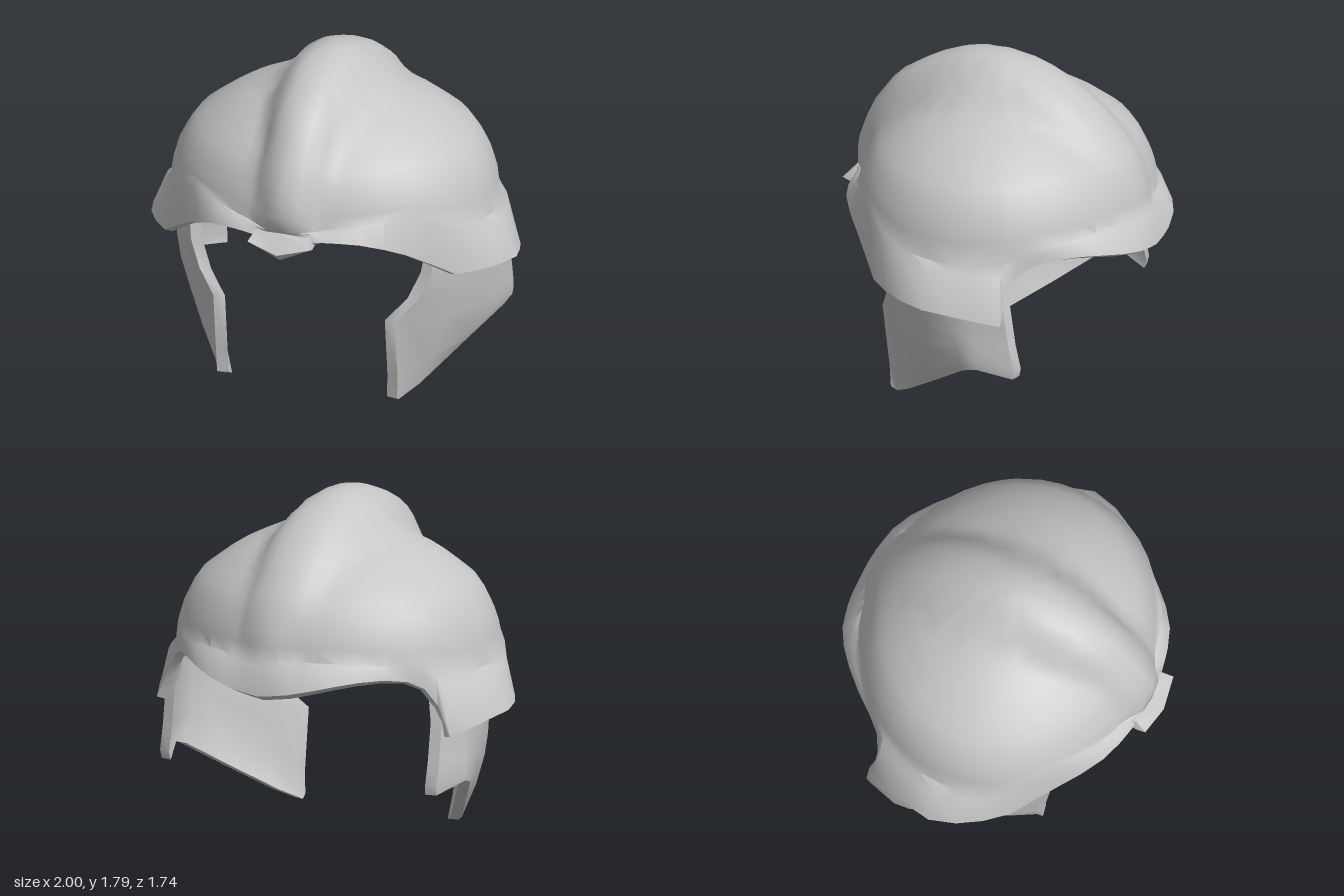
import * as THREE from 'three';
import { toCreasedNormals } from 'three/addons/utils/BufferGeometryUtils.js';

const steel = new THREE.MeshStandardMaterial({ color: 0xc6c6c6, side: THREE.DoubleSide });
steel.name = 'steel grey';

// Skins rows of points; rows run downwards and points left to right as seen from outside
function skin(name, rows, closed, crease = 0.85) {
  const n = rows[0].length, index = [];
  for (let i = 0; i < rows.length - 1; i++) {
    for (let j = 0; j < (closed ? n : n - 1); j++) {
      const k = (j + 1) % n;
      const a = i * n + j, b = a + n, c = (i + 1) * n + k, d = i * n + k;
      index.push(a, b, c, a, c, d);
    }
  }
  const geometry = new THREE.BufferGeometry();
  geometry.setAttribute('position', new THREE.Float32BufferAttribute(rows.flat(2), 3));
  geometry.setIndex(index);
  const mesh = new THREE.Mesh(toCreasedNormals(geometry, crease), steel);
  mesh.name = name;
  return mesh;
}

// Linear lookup in rows sorted by their first number
function lookup(table, t) {
  if (t <= table[0][0]) return table[0];
  const i = table.findIndex((row) => row[0] >= t);
  if (i < 0) return table[table.length - 1];
  const a = table[i - 1], b = table[i], f = (t - a[0]) / (b[0] - a[0]);
  return a.map((v, k) => v + (b[k] - v) * f);
}

// Rim from front centre round the left ear to back centre: [x, y, z, height where the flare starts]
const halfRim = [
  [0, 0.99, 0.78, 1.05], [0.09, 0.995, 0.78, 1.05], [0.17, 1.005, 0.78, 1.05], [0.225, 1.01, 0.77, 1.06],
  [0.29, 1.01, 0.755, 1.07], [0.4, 1.0, 0.715, 1.09], [0.51, 0.96, 0.64, 1.12], [0.6, 0.91, 0.56, 1.14],
  [0.7, 0.835, 0.465, 1.1], [0.8, 0.755, 0.37, 1.04], [0.89, 0.745, 0.26, 0.99], [0.96, 0.74, 0.14, 0.965],
  [1, 0.73, 0, 0.955], [0.97, 0.71, -0.13, 0.95], [0.93, 0.685, -0.25, 0.95], [0.87, 0.655, -0.385, 0.96],
  [0.8, 0.81, -0.385, 0.98], [0.74, 0.9, -0.42, 1.0], [0.68, 0.945, -0.49, 1.02], [0.6, 0.965, -0.59, 1.04],
  [0.5, 0.962, -0.69, 1.05], [0.4, 0.945, -0.77, 1.05], [0.3, 0.922, -0.825, 1.05], [0.225, 0.905, -0.845, 1.05],
  [0.17, 0.892, -0.858, 1.05], [0.09, 0.88, -0.868, 1.05], [0, 0.868, -0.87, 1.05],
];

// Dome profile: [height, share of the base outline]
const profile = [[0.95, 0.985], [1.03, 0.98], [1.1, 0.965], [1.18, 0.935], [1.26, 0.89], [1.335, 0.83], [1.395, 0.74],
  [1.435, 0.68], [1.48, 0.6], [1.525, 0.5], [1.565, 0.4], [1.598, 0.3], [1.625, 0.2], [1.643, 0.1], [1.65, 0]];
const halfWidth = 0.88;
const depthAt = (z) => (z > 0 ? 0.76 : 0.8);
const shareAt = (y) => lookup(profile, y)[1];

// Ridge over the crown: [z, y, top half width, base half width]
const ridge = [
  [0.805, 1.04, 0.13, 0.18], [0.81, 1.2, 0.105, 0.17], [0.74, 1.375, 0.11, 0.19], [0.6, 1.57, 0.13, 0.22],
  [0.4, 1.7, 0.15, 0.25], [0.2, 1.775, 0.165, 0.27], [0.04, 1.79, 0.17, 0.275], [-0.2, 1.74, 0.17, 0.275],
  [-0.4, 1.645, 0.16, 0.26], [-0.6, 1.48, 0.14, 0.22], [-0.72, 1.33, 0.12, 0.19], [-0.79, 1.17, 0.105, 0.16],
  [-0.81, 1.05, 0.1, 0.14],
].map(([z, y, top, base]) => {
  // Find the dome below the ridge line to get the ridge's own height
  const radius = Math.hypot(z, y - 1);
  let lo = 0, hi = radius;
  for (let i = 0; i < 24; i++) {
    const mid = (lo + hi) / 2, pz = z / radius * mid;
    if (Math.abs(pz) / depthAt(pz) < shareAt(1 + (y - 1) / radius * mid)) lo = mid;
    else hi = mid;
  }
  return [Math.atan2(y - 1, z), radius - lo, top, base];
});

// Pushes a dome point outwards where the ridge crosses it
function raise([x, y, z]) {
  const r = Math.hypot(y - 1, z) || 1;
  const [, rise, top, base] = lookup(ridge, Math.atan2(y - 1, z));
  const shape = [[0, 1], [top * 0.6, 0.94], [top, 0.72], [base * 0.45 + top * 0.55, 0.36], [base, 0]];
  const t = 1 + rise * lookup(shape, Math.abs(x))[1] / r;
  return [x, 1 + (y - 1) * t, z * t];
}

// Dome point above a rim point; columns near the ridge keep their x so that it stays sharp
function domePoint([x, , z], y) {
  const depth = depthAt(z), u = x / halfWidth, ux = u / Math.hypot(u, z / depth);
  const share = shareAt(y), core = 0.33, wide = Math.max(share, 0.5), a = Math.abs(ux);
  const across = a < core ? a : core + (a - core) * (wide - core) / (1 - core);
  const xs = across * share / wide;
  const zs = Math.sqrt(Math.max(0, share * share - xs * xs));
  return raise([Math.sign(ux) * xs * halfWidth, y, Math.sign(z) * zs * depth]);
}

function bowl() {
  const columns = [...halfRim, ...halfRim.slice(1, -1).reverse().map(([x, y, z, h]) => [-x, y, z, h])];
  const rim = columns.map(([x, y, z]) => [x, y, z]);
  const heights = profile.slice(3).map((p) => p[0]).reverse();
  const dome = heights.map((y) => columns.map((c) => domePoint(c, y)));
  for (const f of [0.5, 1]) dome.push(columns.map((c) => domePoint(c, 1.18 + (c[3] - 1.18) * f)));
  const base = dome[dome.length - 1];
  // Shoulder of the flare: steps out first, then drops to the rim
  const shoulder = rim.map(([x, y, z], j) => {
    const [bx, by, bz] = base[j];
    return [bx + (x - bx) * 0.38, by + (y - by) * 0.15, bz + (z - bz) * 0.38];
  });
  const outer = [...dome, shoulder];
  // The lip is thicker and turned down at the back
  const lip = rim.map(([x, y, z]) => {
    const back = THREE.MathUtils.smoothstep(-z, 0.35, 0.7);
    const t = 0.955 - 0.035 * back;
    return [x * t, y - 0.01 - 0.024 * back, z * t];
  });
  const lining = outer.map((row) => row.map(([x, y, z]) => [x * 0.955, 0.82 + (y - 0.82) * 0.955, z * 0.955]));
  return skin('bowl', [...outer, rim, lip, ...lining.reverse()], true);
}

// Small pointed peak under the front end of the ridge
function peak() {
  const bar = (w, y, yMid, z, zMid) => [[-w, y, z], [0, yMid, zMid], [w, y, z]];
  const rows = [bar(0.15, 1.03, 1.04, 0.755, 0.765), bar(0.15, 1.03, 1.04, 0.785, 0.804),
    bar(0.17, 0.99, 0.945, 0.845, 0.87), bar(0.17, 0.975, 0.9, 0.8, 0.82), bar(0.17, 0.985, 0.95, 0.75, 0.76)];
  // Close both ends
  const all = rows.map((r) => [[-0.165, 1.0, 0.78], ...r, [0.165, 1.0, 0.78]]);
  return skin('browPeak', all, false, 0.7);
}

// Hinged cheek guard; each column runs top to bottom, columns go front to back
function cheek(side) {
  const columns = [
    [[0.68, 0.86, 0.33], [0.66, 0.72, 0.36], [0.6, 0.58, 0.395], [0.5, 0.47, 0.46], [0.5, 0.14, 0.42], [0.495, 0.02, 0.415]],
    [[0.71, 0.86, 0.3], [0.69, 0.72, 0.33], [0.64, 0.58, 0.35], [0.55, 0.47, 0.4], [0.52, 0.13, 0.385], [0.49, 0, 0.38]],
    [[0.77, 0.86, 0.22], [0.76, 0.72, 0.22], [0.73, 0.58, 0.22], [0.7, 0.46, 0.24], [0.63, 0.2, 0.27], [0.57, 0.06, 0.28]],
    [[0.86, 0.86, 0.05], [0.86, 0.72, 0.05], [0.85, 0.58, 0.05], [0.83, 0.46, 0.05], [0.78, 0.3, 0.05], [0.72, 0.215, 0.05]],
    [[0.88, 0.86, -0.08], [0.885, 0.72, -0.08], [0.88, 0.62, -0.1], [0.875, 0.52, -0.13], [0.88, 0.42, -0.16], [0.87, 0.37, -0.17]],
    [[0.86, 0.86, -0.22], [0.87, 0.72, -0.22], [0.87, 0.62, -0.23], [0.88, 0.52, -0.24], [0.89, 0.43, -0.25], [0.885, 0.395, -0.25]],
    [[0.79, 0.86, -0.35], [0.82, 0.72, -0.38], [0.82, 0.62, -0.395], [0.82, 0.52, -0.41], [0.82, 0.39, -0.44], [0.815, 0.345, -0.43]],
  ];
  const rows = columns[0].map((_, r) => {
    const out = columns.map((c) => c[r]);
    const inside = out.map(([x, y, z]) => [x - 0.06, y, z - 0.012]).reverse();
    return [...out, ...inside];
  });
  // Fold the last row inwards to close the lower edge
  const last = rows[rows.length - 1];
  rows.push(last.map((p, j) => last[Math.max(j, last.length - 1 - j)]));
  const sided = side > 0 ? rows : rows.map((row) => row.map(([x, y, z]) => [-x, y, z]).reverse());
  return skin(side > 0 ? 'leftCheekGuard' : 'rightCheekGuard', sided, true);
}

export function createModel() {
  const helmet = new THREE.Group();
  helmet.name = 'helmet';
  helmet.add(bowl(), peak(), cheek(1), cheek(-1));
  return helmet;
}
